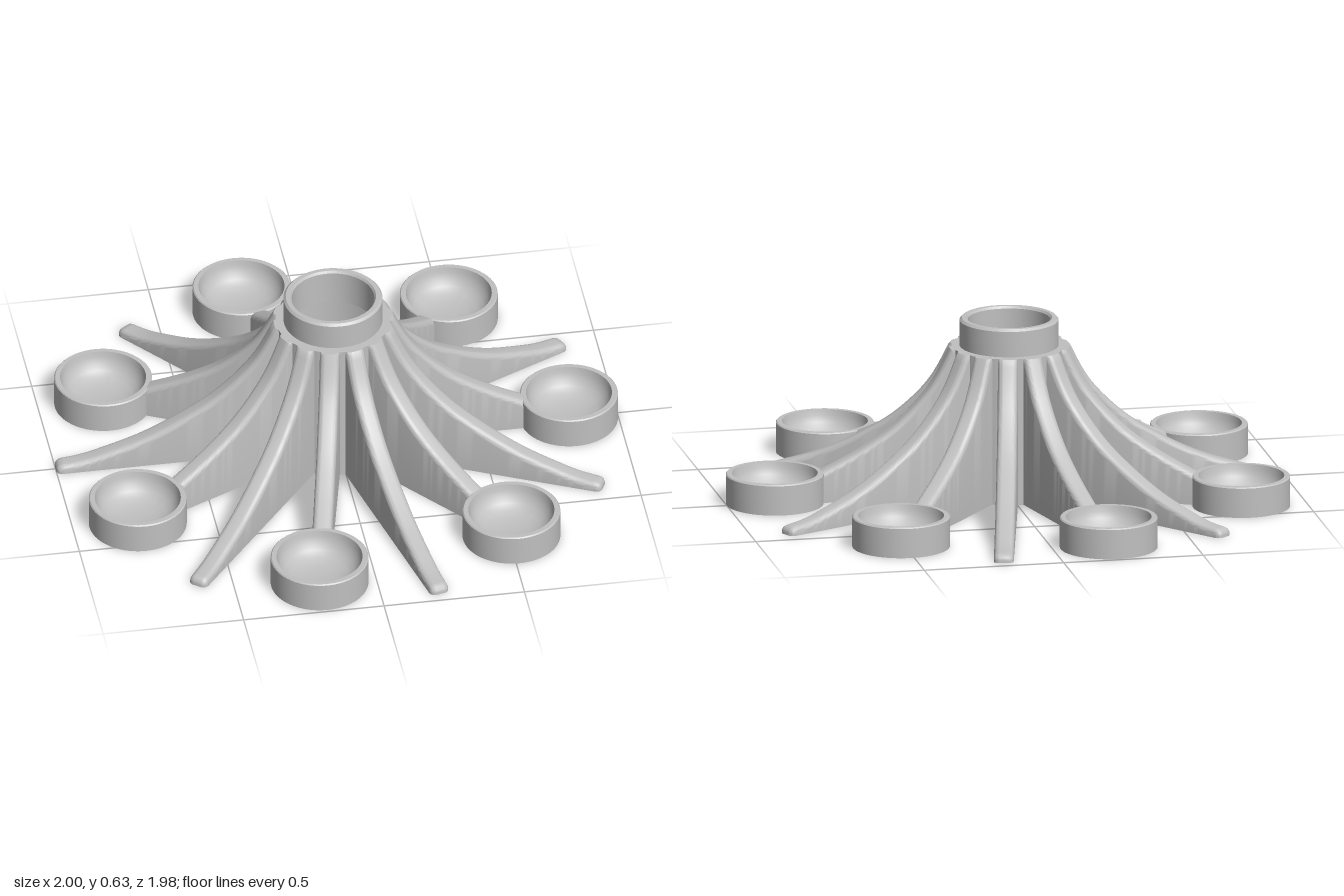
import * as THREE from 'three';
import { toCreasedNormals } from 'three/addons/utils/BufferGeometryUtils.js';

const HALF_WIDTH = 0.035;
const BEVEL = 0.02;
const RIB_START = 0.197;
const RIB_TOP = 0.53;
const v2 = ([x, y]) => new THREE.Vector2(x, y);

// Vertical fin whose top edge follows a profile and is rounded across its width,
// cut flat at the collar and at the inner wall
function ribGeometry(curvePoints, tipPoints) {
  const profile = new THREE.SplineCurve(curvePoints.map(v2)).getPoints(60)
    .concat(tipPoints.map(v2));
  const last = profile.length - 1;
  const steps = 5, ring = 2 * steps + 4;
  const positions = [], index = [];

  profile.forEach((p, i) => {
    const t = profile[Math.min(i + 1, last)].clone().sub(profile[Math.max(i - 1, 0)]).normalize();
    const n = new THREE.Vector2(-t.y, t.x);
    const add = (x, y, z) =>
      positions.push(Math.max(RIB_START, x), THREE.MathUtils.clamp(y, 0, RIB_TOP), z);
    const footX = p.x - n.x * BEVEL;
    add(footX, 0, -HALF_WIDTH);
    for (const side of [-1, 1]) {
      for (let k = 0; k <= steps; k++) {
        const a = ((side < 0 ? k : steps - k) / steps) * Math.PI / 2;
        const drop = BEVEL * (1 - Math.sin(a));
        add(p.x - n.x * drop, p.y - n.y * drop,
          side * (HALF_WIDTH - BEVEL + BEVEL * Math.cos(a)));
      }
    }
    add(footX, 0, HALF_WIDTH);
  });

  for (let i = 0; i < last; i++) {
    for (let j = 0; j < ring; j++) {
      const k = (j + 1) % ring;
      const a = i * ring + j, d = i * ring + k;
      index.push(a, d, a + ring, d, d + ring, a + ring);
    }
  }
  // Close both ends
  for (let j = 1; j < ring - 1; j++) {
    index.push(0, j + 1, j);
    index.push(last * ring, last * ring + j, last * ring + j + 1);
  }
  const g = new THREE.BufferGeometry();
  g.setAttribute('position', new THREE.Float32BufferAttribute(positions, 3));
  g.setIndex(index);
  return toCreasedNormals(g, 0.6);
}

const lathe = (points) =>
  toCreasedNormals(new THREE.LatheGeometry(points.map(v2), 64), 0.6);

export function createModel() {
  const model = new THREE.Group();
  model.name = 'radialStand';
  const grey = new THREE.MeshStandardMaterial({ color: 0xc0c0c0 });
  grey.name = 'lightGrey';

  const add = (geometry, name, angle = 0) => {
    const mesh = new THREE.Mesh(geometry, grey);
    mesh.name = name;
    mesh.rotation.y = angle;
    mesh.position.x = -0.012;
    model.add(mesh);
  };

  // Open hub: wide lower sleeve stepping in to a narrower collar
  add(lathe([
    [0.193, 0], [0.202, 0], [0.202, 0.53], [0.174, 0.53], [0.174, 0.622],
    [0.166, 0.63], [0.151, 0.63], [0.145, 0.622], [0.145, 0.5], [0.193, 0.5], [0.193, 0],
  ]), 'hub');

  // Shared concave sweep of every rib
  const sweep = [
    [0.175, 0.62], [0.213, 0.53], [0.29, 0.39], [0.41, 0.265], [0.54, 0.178], [0.685, 0.105],
  ];
  const longRib = ribGeometry(
    [...sweep, [0.83, 0.056], [0.9, 0.038], [0.963, 0.03]],
    [[0.977, 0.026], [0.985, 0.018], [0.988, 0.008], [0.988, 0]]);
  const cupRib = ribGeometry(sweep, []);

  // Solid-bottomed cup with a concave dish
  const cup = lathe([
    [0, 0], [0.172, 0], [0.172, 0.106], [0.168, 0.11], [0.151, 0.11],
    [0.147, 0.09], [0.139, 0.068], [0.123, 0.048], [0.1, 0.033],
    [0.065, 0.024], [0.03, 0.02], [0, 0.02],
  ]);
  cup.translate(0.84, 0, 0);

  // Seven cup arms alternate with seven plain feet
  for (let i = 0; i < 7; i++) {
    const angle = (i * 2 * Math.PI) / 7;
    add(cupRib, 'cupRib', angle);
    add(cup, 'cup', angle);
    add(longRib, 'footRib', angle + Math.PI / 7);
  }
  return model;
}
